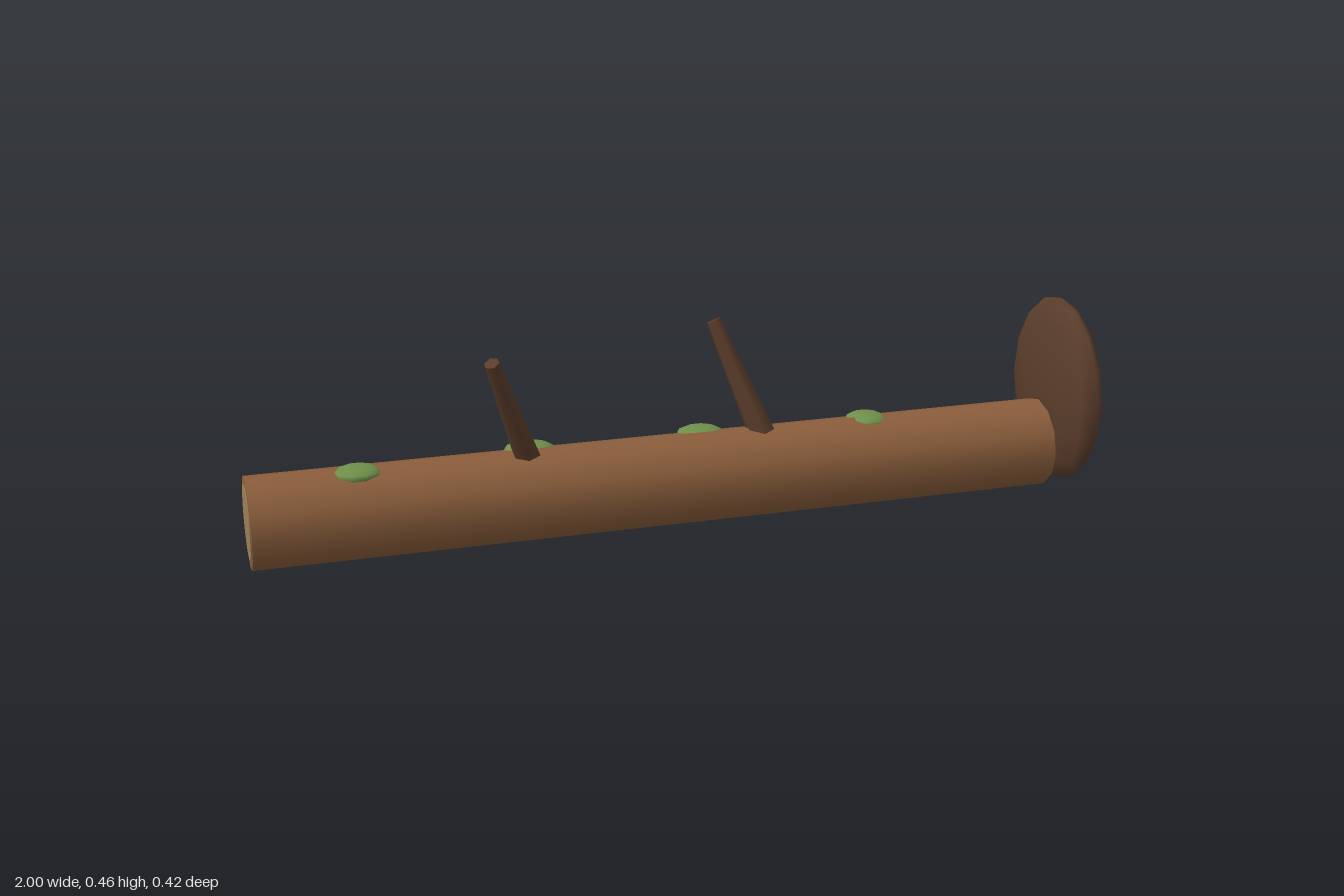
import * as THREE from 'three';

const mat = (name, color) => {
  const m = new THREE.MeshStandardMaterial({ color });
  m.name = name;
  return m;
};

export function createModel() {
  const bark = mat('bark brown', 0x8b5e3c);
  const darkBark = mat('dark bark', 0x5a3d2b);
  const wood = mat('cut wood', 0x9c8055);
  const moss = mat('moss green', 0x6f8f4a);

  const model = new THREE.Group();
  model.name = 'fallenLog';

  const add = (name, geometry, material, x, y, z) => {
    const mesh = new THREE.Mesh(geometry, material);
    mesh.name = name;
    mesh.position.set(x, y, z);
    model.add(mesh);
    return mesh;
  };

  // Trunk lying along x, with a vertex line at the very bottom
  const R = 0.106, trunkY = 0.108, trunkZ = 0.013;
  const trunkGeo = new THREE.CylinderGeometry(R, R, 1.893, 12).rotateZ(Math.PI / 2);
  add('trunk', trunkGeo, bark, -0.0535, trunkY, trunkZ);

  // Pale sawn face on the far end
  const cutGeo = new THREE.CylinderGeometry(0.087, 0.087, 0.006, 12).rotateZ(Math.PI / 2);
  add('cutEnd', cutGeo, wood, -0.999, trunkY, trunkZ);

  // Upturned root plate: a thin, slightly tilted ellipsoid
  const root = add('rootPlate', new THREE.SphereGeometry(1, 12, 8), darkBark, 0.946, 0.236, 0);
  root.scale.set(0.053, 0.224, 0.21);
  root.rotation.x = -0.035;

  // Tapered broken branches, from base to tip
  const branches = [
    [[-0.368, 0.185, 0.016], [-0.466, 0.456, 0.112]],
    [[0.19, 0.185, 0.016], [0.092, 0.456, -0.07]],
  ];
  for (const [from, to] of branches) {
    const a = new THREE.Vector3(...from), b = new THREE.Vector3(...to);
    const dir = b.clone().sub(a);
    const mid = a.clone().add(b).multiplyScalar(0.5);
    const branch = add('branch', new THREE.CylinderGeometry(0.018, 0.033, dir.length(), 6),
      darkBark, mid.x, mid.y, mid.z);
    branch.quaternion.setFromUnitVectors(new THREE.Vector3(0, 1, 0), dir.normalize());
  }

  // Flattened moss patches: x, y, z, half width, half depth
  const patches = [
    [-0.757, 0.204, 0.025, 0.054, 0.048],
    [-0.36, 0.2, -0.028, 0.06, 0.048],
    [0.046, 0.2, -0.025, 0.056, 0.048],
    [0.45, 0.203, 0, 0.05, 0.05],
  ];
  for (const [x, y, z, rx, rz] of patches) {
    add('mossPatch', new THREE.SphereGeometry(1, 10, 8), moss, x, y, z).scale.set(rx, 0.017, rz);
  }

  return model;
}
